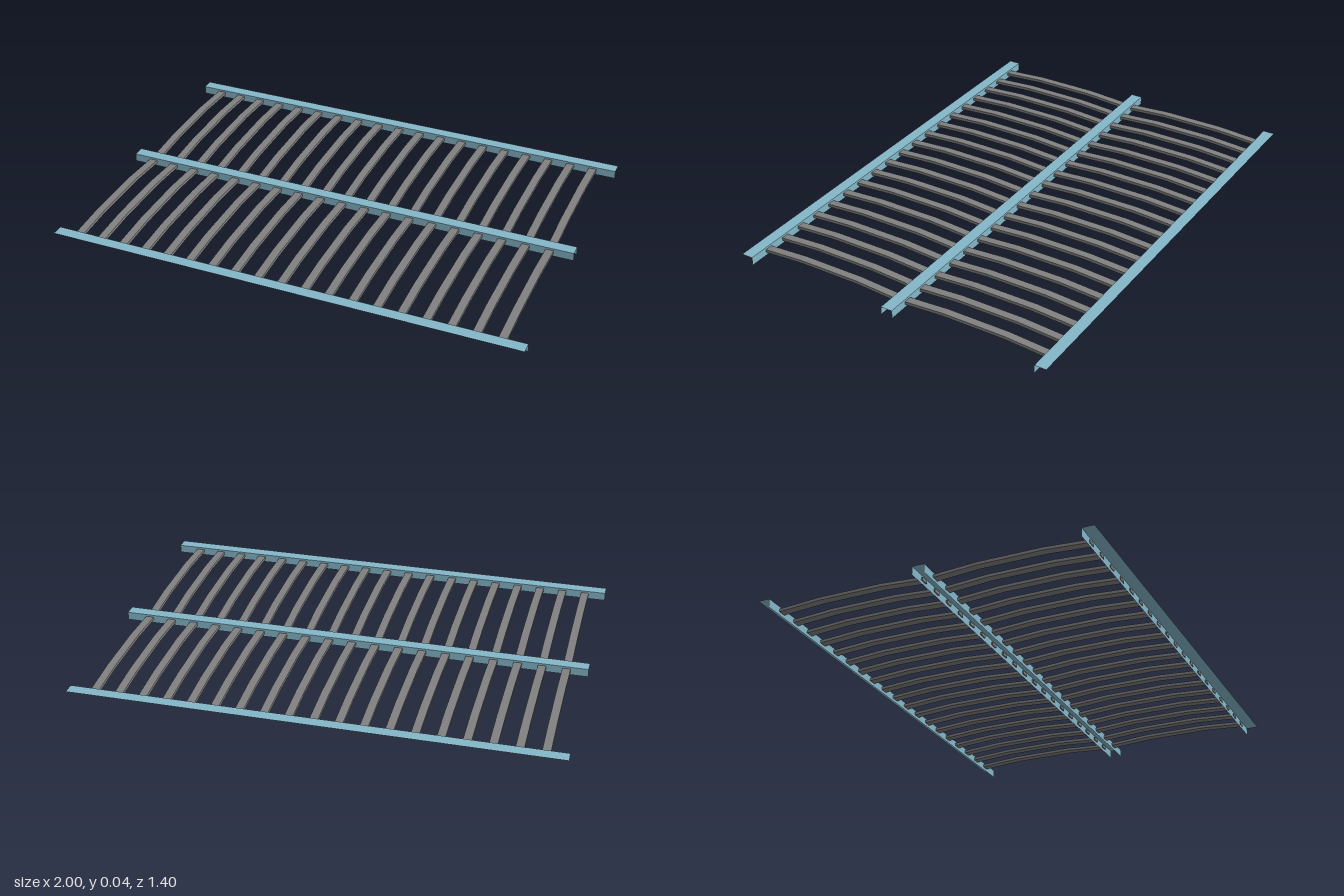
import * as THREE from 'three';

const railMaterial = new THREE.MeshStandardMaterial({ color: 0x84b6c8, side: THREE.DoubleSide });
const slatMaterial = new THREE.MeshStandardMaterial({ color: 0x808080, flatShading: true });

const LENGTH = 2, HEIGHT = 0.035, WIDTH = 0.05;

// Flat sheet running along x, either lying (top flange) or standing (web)
function sheet(name, size, y, z, lying) {
  const geometry = new THREE.PlaneGeometry(LENGTH, size);
  if (lying) geometry.rotateX(-Math.PI / 2);
  const mesh = new THREE.Mesh(geometry, railMaterial);
  mesh.name = name;
  mesh.position.set(0, y, z);
  return mesh;
}

// Folded sheet rail: a top flange with webs hanging at the given z positions
function rail(name, z, webs) {
  const group = new THREE.Group();
  group.name = name;
  group.add(sheet('flange', WIDTH, HEIGHT, z, true));
  for (const w of webs) group.add(sheet('web', HEIGHT, HEIGHT / 2, w, false));
  return group;
}

// Side profile of a bowed slat, extruded to its width and centred on x
function slatGeometry() {
  const width = 0.034, thickness = 0.013;
  const bow = [[0.021, 0.013], [0.2, 0.025], [0.47, 0.025], [0.653, 0.013]];
  const outline = [
    ...bow.map(([z, y]) => new THREE.Vector2(-z, y)),
    ...bow.slice().reverse().map(([z, y]) => new THREE.Vector2(-z, y + thickness)),
  ];
  const geometry = new THREE.ExtrudeGeometry(new THREE.Shape(outline), { depth: width, bevelEnabled: false });
  geometry.translate(0, 0, -width / 2);
  geometry.rotateY(Math.PI / 2);
  return geometry;
}

export function createModel() {
  const model = new THREE.Group();
  model.name = 'slattedBase';

  // Angle rails at front and back, channel rail in the middle
  model.add(rail('frontRail', 0.675, [0.65]));
  model.add(rail('backRail', -0.675, [-0.65]));
  model.add(rail('centreRail', -0.002, [-0.027, 0.023]));

  // Two rows of bowed slats
  const geometry = slatGeometry();
  for (let i = 0; i < 19; i++) {
    for (const turn of [0, Math.PI]) {
      const slat = new THREE.Mesh(geometry, slatMaterial);
      slat.name = turn ? 'frontSlat' : 'backSlat';
      slat.rotation.y = turn;
      slat.position.x = -0.91 + i * 0.1005;
      model.add(slat);
    }
  }
  // The profile starts on +z, so name rows by their actual side
  for (const slat of model.children.filter((c) => c.isMesh)) {
    slat.name = slat.rotation.y ? 'backSlat' : 'frontSlat';
  }
  return model;
}
